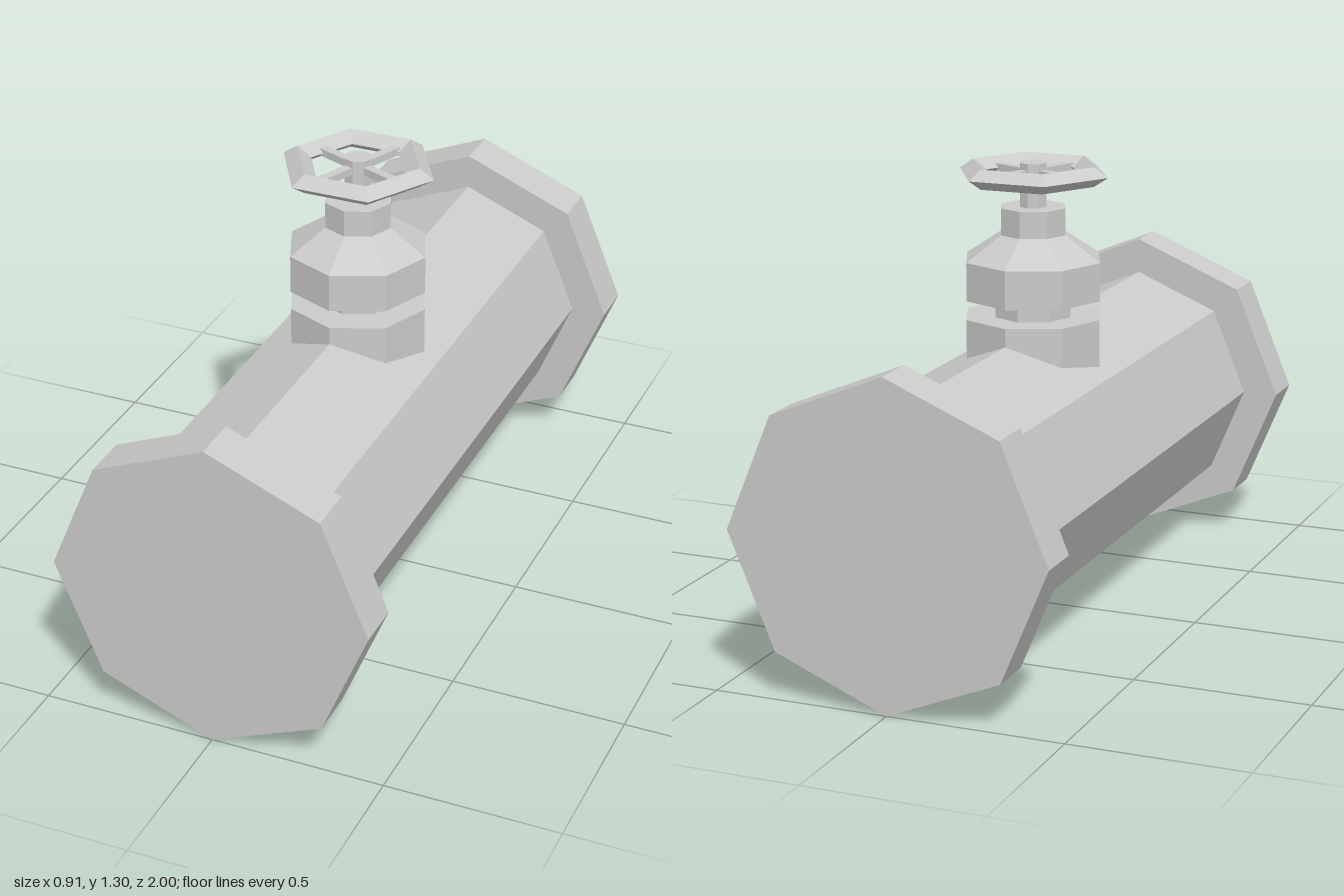
import * as THREE from 'three';

const material = new THREE.MeshStandardMaterial({ color: 0xcccccc, flatShading: true });
const SIDES = 8;
const PIPE_Y = 0.456;

function part(parent, name, geometry, x = 0, y = 0, z = 0) {
  const mesh = new THREE.Mesh(geometry, material);
  mesh.name = name;
  mesh.position.set(x, y, z);
  parent.add(mesh);
  return mesh;
}

// Octagonal cylinder lying along z
const lyingCylinder = (radius, length) =>
  new THREE.CylinderGeometry(radius, radius, length, SIDES).rotateX(Math.PI / 2);

// Octagonal turned solid from [radius, height] pairs, bottom to top
const turned = (profile) =>
  new THREE.LatheGeometry(profile.map(([r, y]) => new THREE.Vector2(r, y)), SIDES);

export function createModel() {
  const model = new THREE.Group();
  model.name = 'pipeWithValve';

  // Pipe and end flanges
  part(model, 'pipe', lyingCylinder(0.352, 1.8), 0, PIPE_Y, 0);
  for (const side of [1, -1]) {
    part(model, side > 0 ? 'frontFlange' : 'backFlange', lyingCylinder(0.456, 0.136), 0, PIPE_Y, side * 0.932);
  }

  // Valve body: collar on the pipe, neck, bonnet and gland
  const valve = new THREE.Group();
  valve.name = 'valve';
  model.add(valve);
  part(valve, 'valveBody', turned([
    [0, 0.65], [0.203, 0.65], [0.203, 0.86], [0.115, 0.86], [0.115, 0.914],
    [0.203, 0.914], [0.203, 1.024], [0.098, 1.095], [0.098, 1.172], [0, 1.172],
  ]));
  part(valve, 'stem', new THREE.CylinderGeometry(0.04, 0.04, 0.137, SIDES), 0, 1.2285, 0);

  // Hexagonal handwheel with four spokes
  const wheel = new THREE.Group();
  wheel.name = 'handwheel';
  wheel.position.y = 1.267;
  valve.add(wheel);
  const rim = new THREE.TorusGeometry(0.183, 0.042, 4, 6).rotateX(Math.PI / 2).scale(1, 0.67, 1);
  part(wheel, 'rim', rim);
  for (let i = 0; i < 4; i++) {
    const spoke = new THREE.BoxGeometry(0.13, 0.022, 0.026).translate(0.095, 0, 0);
    part(wheel, 'spoke', spoke).rotation.y = -Math.PI / 8 + (i * Math.PI) / 2;
  }

  return model;
}
